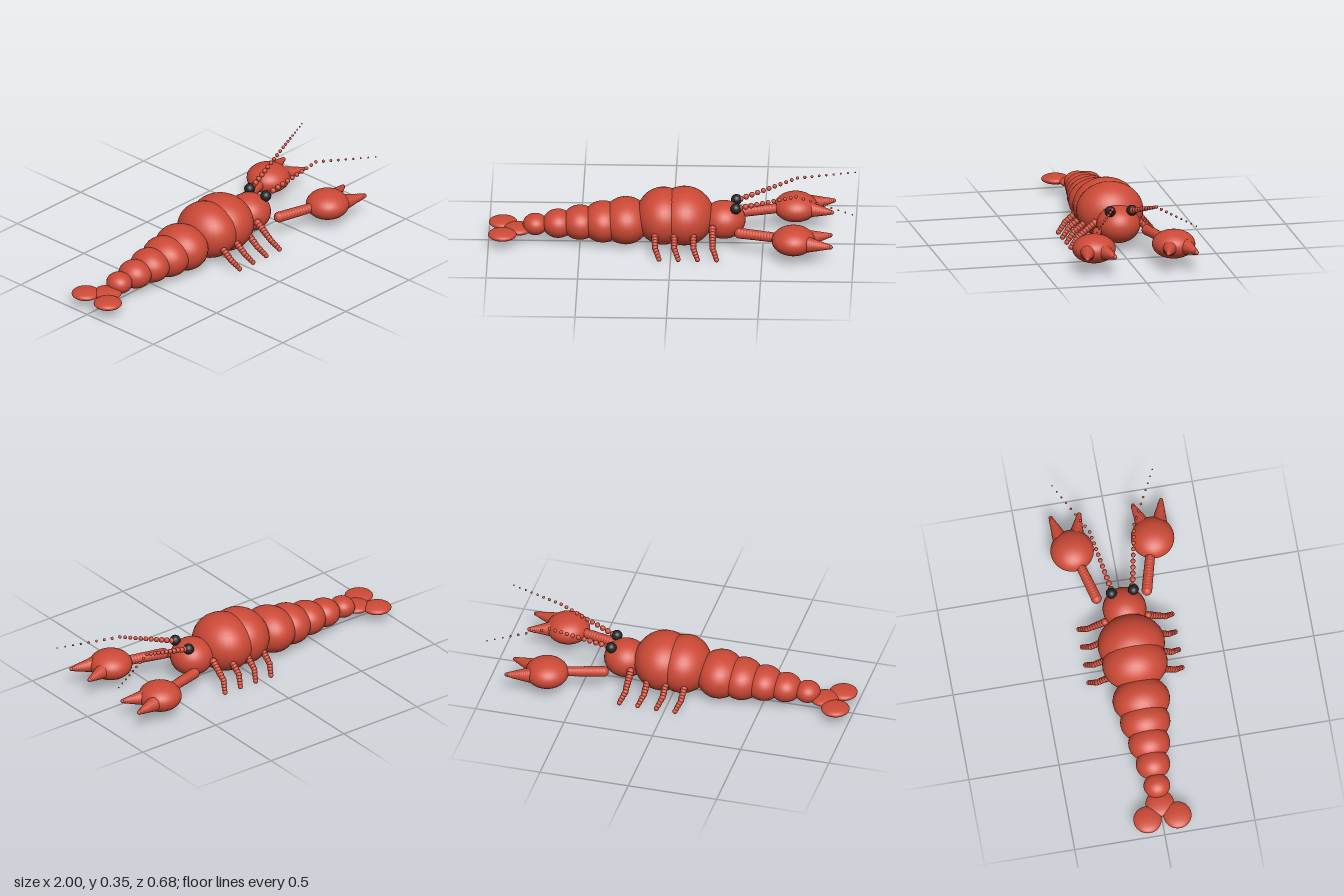
import * as THREE from 'three';

const shell = new THREE.MeshStandardMaterial({ color: 0xcc4936 });
shell.name = 'red shell';
const black = new THREE.MeshStandardMaterial({ color: 0x222222 });
black.name = 'eye black';

const ball = new THREE.SphereGeometry(1, 32, 20);
const smallBall = new THREE.SphereGeometry(1, 12, 8);

function ellipsoid(name, pos, radii, material = shell, geometry = ball) {
  const mesh = new THREE.Mesh(geometry, material);
  mesh.name = name;
  mesh.position.set(...pos);
  mesh.scale.set(...radii);
  return mesh;
}

// Row of beads from a to b, shrinking from radius ra to rb
function beads(group, name, a, b, ra, rb, steps, first = 0) {
  const start = new THREE.Vector3(...a), end = new THREE.Vector3(...b);
  for (let i = first; i <= steps; i++) {
    const t = i / steps;
    const r = THREE.MathUtils.lerp(ra, rb, t);
    const p = start.clone().lerp(end, t);
    group.add(ellipsoid(name, p.toArray(), [r, r, r], shell, smallBall));
  }
}

function named(name) {
  const group = new THREE.Group();
  group.name = name;
  return group;
}

export function createModel() {
  const model = named('lobster');

  // Head, carapace and tapering abdomen: [name, x, y, rx, ry, rz]
  const body = [
    ['head', 0.285, 0.143, 0.12, 0.103, 0.12],
    ['frontCarapace', 0.07, 0.163, 0.163, 0.158, 0.185],
    ['rearCarapace', -0.045, 0.161, 0.15, 0.154, 0.18],
    ['abdomenSegment1', -0.25, 0.131, 0.132, 0.126, 0.158],
    ['abdomenSegment2', -0.375, 0.122, 0.116, 0.11, 0.138],
    ['abdomenSegment3', -0.5, 0.116, 0.102, 0.092, 0.115],
    ['abdomenSegment4', -0.62, 0.108, 0.088, 0.077, 0.094],
    ['abdomenSegment5', -0.745, 0.102, 0.069, 0.058, 0.073],
  ];
  for (const [name, x, y, rx, ry, rz] of body) {
    model.add(ellipsoid(name, [x, y, 0], [rx, ry, rz]));
  }
  model.add(ellipsoid('middleTailFan', [-0.84, 0.075, 0], [0.078, 0.026, 0.078]));

  for (const s of [1, -1]) {
    const side = s > 0 ? 'left' : 'right';

    model.add(ellipsoid(side + 'TailFan', [-0.923, 0.075, s * 0.083], [0.078, 0.026, 0.077]));
    model.add(ellipsoid(side + 'Eye', [0.353, 0.235, s * 0.061], [0.03, 0.03, 0.03], black));

    // Antenna: a rising row of beads, then a thinner drooping one
    const antenna = named(side + 'Antenna');
    const knee = [0.685, 0.34, s * 0.123];
    beads(antenna, 'antennaBead', [0.375, 0.24, s * 0.06], knee, 0.017, 0.0095, 10);
    beads(antenna, 'antennaBead', knee, [0.996, 0.307, s * 0.278], 0.0095, 0.004, 8, 1);
    model.add(antenna);

    // Claw: ribbed arm, flattened palm and two pointed fingers
    const claw = named(side + 'Claw');
    beads(claw, 'armBead', [0.375, 0.125, s * 0.14], [0.6, 0.125, s * 0.2], 0.03, 0.027, 14);
    claw.add(ellipsoid('palm', [0.672, 0.123, s * 0.223], [0.119, 0.078, 0.119]));
    beads(claw, 'outerFinger', [0.755, 0.123, s * 0.276], [0.878, 0.123, s * 0.306], 0.042, 0.012, 11);
    beads(claw, 'innerFinger', [0.755, 0.123, s * 0.185], [0.872, 0.123, s * 0.149], 0.042, 0.012, 11);
    model.add(claw);

    // Four walking legs, each with a bent foot
    for (let i = 0; i < 4; i++) {
      const x = -0.088 + i * 0.105;
      const leg = named(side + 'Leg' + (i + 1));
      const bend = [x + 0.003, 0.065, s * 0.215];
      beads(leg, 'thighBead', [x, 0.14, s * 0.12], bend, 0.021, 0.017, 7);
      beads(leg, 'footBead', bend, [x + 0.026, 0.017, s * 0.258], 0.017, 0.014, 4, 1);
      model.add(leg);
    }
  }
  return model;
}
